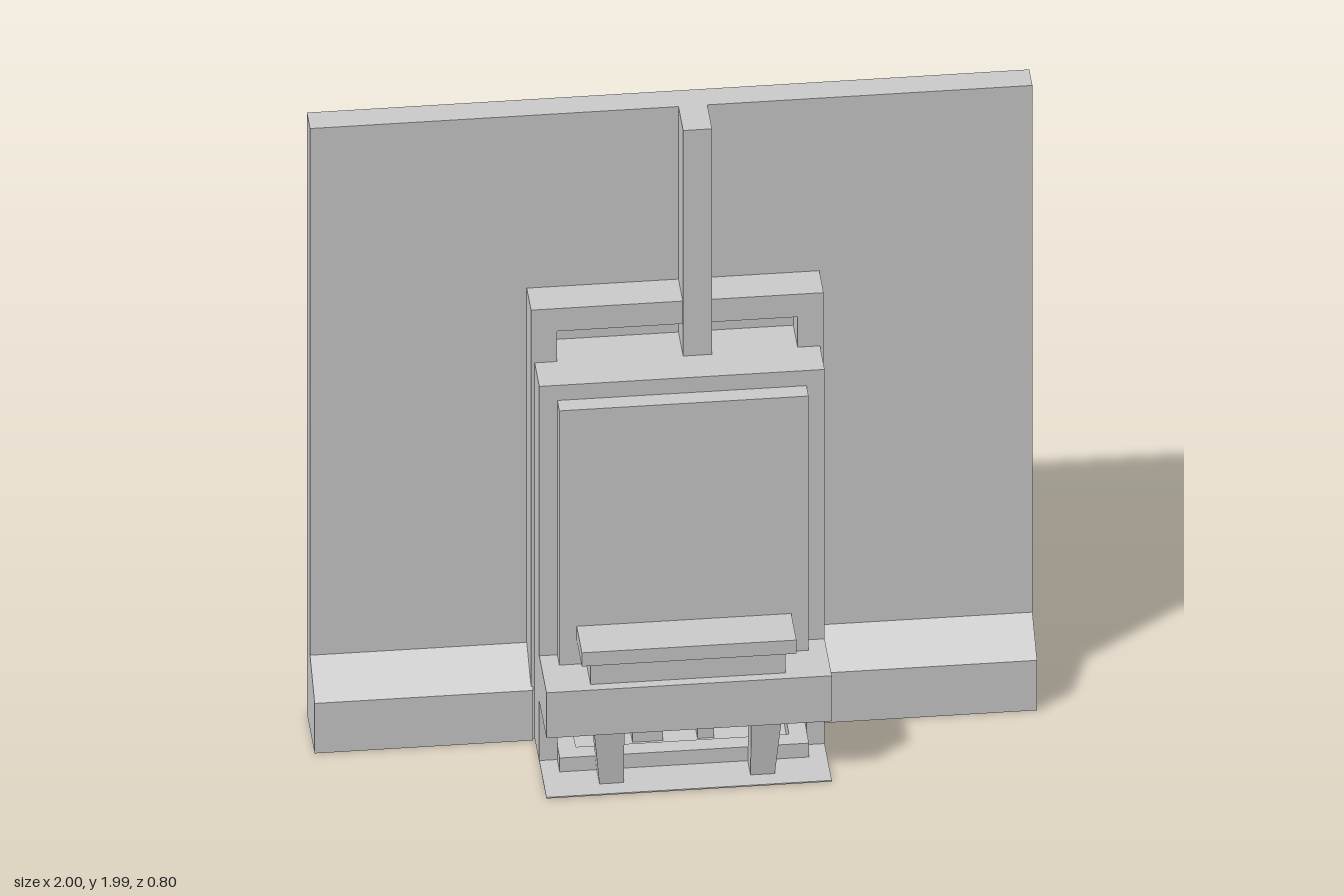
import * as THREE from 'three';

export function createModel() {
  const model = new THREE.Group();
  const stone = new THREE.MeshStandardMaterial({ color: 0xcccccc, flatShading: true });
  stone.name = 'pale stone';
  const soot = new THREE.MeshStandardMaterial({ color: 0x5f4030, flatShading: true });
  soot.name = 'brown arch';
  const C = 0.005; // the stove sits slightly off the wall's centre

  function add(name, geometry, material = stone) {
    const mesh = new THREE.Mesh(geometry, material);
    mesh.name = name;
    model.add(mesh);
    return mesh;
  }
  // box given by its limits on each axis
  function box(name, x0, x1, y0, y1, z0, z1) {
    const g = new THREE.BoxGeometry(x1 - x0, y1 - y0, z1 - z0);
    g.translate((x0 + x1) / 2, (y0 + y1) / 2, (z0 + z1) / 2);
    return add(name, g);
  }
  // box centred on the stove's axis
  const mid = (name, half, y0, y1, z0, z1) => box(name, C - half, C + half, y0, y1, z0, z1);

  // Wall
  box('wall', -1, 1, 0, 1.985, -0.095, -0.015);

  // Sloped plinth on both sides of the stove
  const profile = new THREE.Shape([
    new THREE.Vector2(0.015, 0), new THREE.Vector2(0.015, 0.245),
    new THREE.Vector2(-0.105, 0.165), new THREE.Vector2(-0.105, 0),
  ]);
  for (const [x, w] of [[-1, 0.605], [0.405, 0.595]]) {
    const g = new THREE.ExtrudeGeometry(profile, { depth: w, bevelEnabled: false });
    g.rotateY(Math.PI / 2); // extrusion runs along +x, profile x becomes -z
    g.translate(x, 0, 0);
    add('plinth', g);
  }

  // Surround passing through the wall
  for (const s of [-1, 1]) {
    const a = C + s * 0.405, b = C + s * 0.333;
    box('surroundJamb', Math.min(a, b), Math.max(a, b), 0, 1.34, -0.102, 0.095);
  }
  mid('surroundLintel', 0.405, 1.34, 1.415, -0.102, 0.095);

  // Chimney post
  box('chimneyPost', 0.02, 0.1, 1.2, 1.985, -0.02, 0.105);

  // Stove body
  mid('body', 0.395, 0.2, 1.24, -0.132, 0.213);
  mid('frontPanel', 0.345, 0.35, 1.19, 0.2, 0.265);
  mid('backBlock', 0.395, 0.2, 0.52, -0.207, -0.12);
  mid('backBlockCap', 0.2, 0.52, 0.55, -0.207, -0.12);
  for (const s of [-1, 1]) {
    const a = C + s * 0.395, b = C + s * 0.345;
    box('bodyFoot', Math.min(a, b), Math.max(a, b), 0, 0.2, -0.132, 0.213);
  }

  // Hearth shelves and their raised ledges, front and back
  mid('frontShelf', 0.395, 0.2, 0.35, 0.2, 0.398);
  mid('backShelf', 0.395, 0.2, 0.35, -0.398, -0.2);
  mid('frontLedgeNeck', 0.27, 0.35, 0.43, 0.26, 0.37);
  mid('backLedgeNeck', 0.27, 0.35, 0.43, -0.37, -0.2);
  mid('frontLedge', 0.297, 0.43, 0.475, 0.26, 0.398);
  mid('backLedge', 0.297, 0.43, 0.475, -0.398, -0.2);

  // Leg whose outer sides lean inwards towards the floor
  function leg(name, sx, sz, x, z, w, d, taperX, taperZ) {
    const g = new THREE.BoxGeometry(w, 0.2, d);
    const p = g.attributes.position;
    for (let i = 0; i < p.count; i++) {
      if (p.getY(i) > 0) continue;
      if (p.getX(i) * sx > 0) p.setX(i, p.getX(i) - sx * taperX);
      if (p.getZ(i) * sz > 0) p.setZ(i, p.getZ(i) - sz * taperZ);
    }
    g.translate(C + sx * x, 0.1, sz * z);
    g.computeVertexNormals();
    add(name, g);
  }
  for (const sx of [-1, 1]) {
    leg('frontLeg', sx, 1, 0.218, 0.322, 0.085, 0.088, 0.018, 0.02);
    leg('backLeg', sx, -1, 0.218, 0.322, 0.085, 0.088, 0.018, 0.02);
    leg('bodyBackLeg', sx, -1, 0.355, 0.167, 0.08, 0.08, 0, 0.026);
  }

  // Low tray under the hearth
  for (const s of [-1, 1]) {
    const x = C + s * 0.32, z = s * 0.25;
    box('traySide', x - 0.025, x + 0.025, 0, 0.05, -0.275, 0.275);
    mid('trayRail', 0.295, 0, 0.05, z - 0.025, z + 0.025);
  }

  // Upright blocks under the body
  for (const [a, b] of [[-0.125, -0.04], [0.055, 0.1]]) {
    box('uprightBlock', a, b, 0, 0.2, 0.07, 0.15);
    box('uprightBlock', a, b, 0, 0.2, -0.19, -0.11);
  }

  // Floor sheet
  mid('floorSheet', 0.395, 0, 0.004, -0.397, 0.397);

  // Pointed brown arch on the back, with a small stone point inside it
  const house = (w, low, shoulder, apex) => [
    [-w, low], [w, low], [w, shoulder], [0, apex], [-w, shoulder],
  ].map(([x, y]) => new THREE.Vector2(x, y));
  const arch = new THREE.Shape(house(0.15, 0.45, 0.68, 0.795));
  arch.holes.push(new THREE.Path(house(0.07, 0.46, 0.59, 0.655)));
  const archGeo = new THREE.ExtrudeGeometry(arch, { depth: 0.007, bevelEnabled: false });
  archGeo.translate(C, 0, -0.139);
  add('backArch', archGeo, soot);

  const point = new THREE.ConeGeometry(0.065, 0.14, 4);
  point.scale(1, 1, 0.2);
  point.translate(C, 0.57, -0.132);
  add('archPoint', point);

  return model;
}
